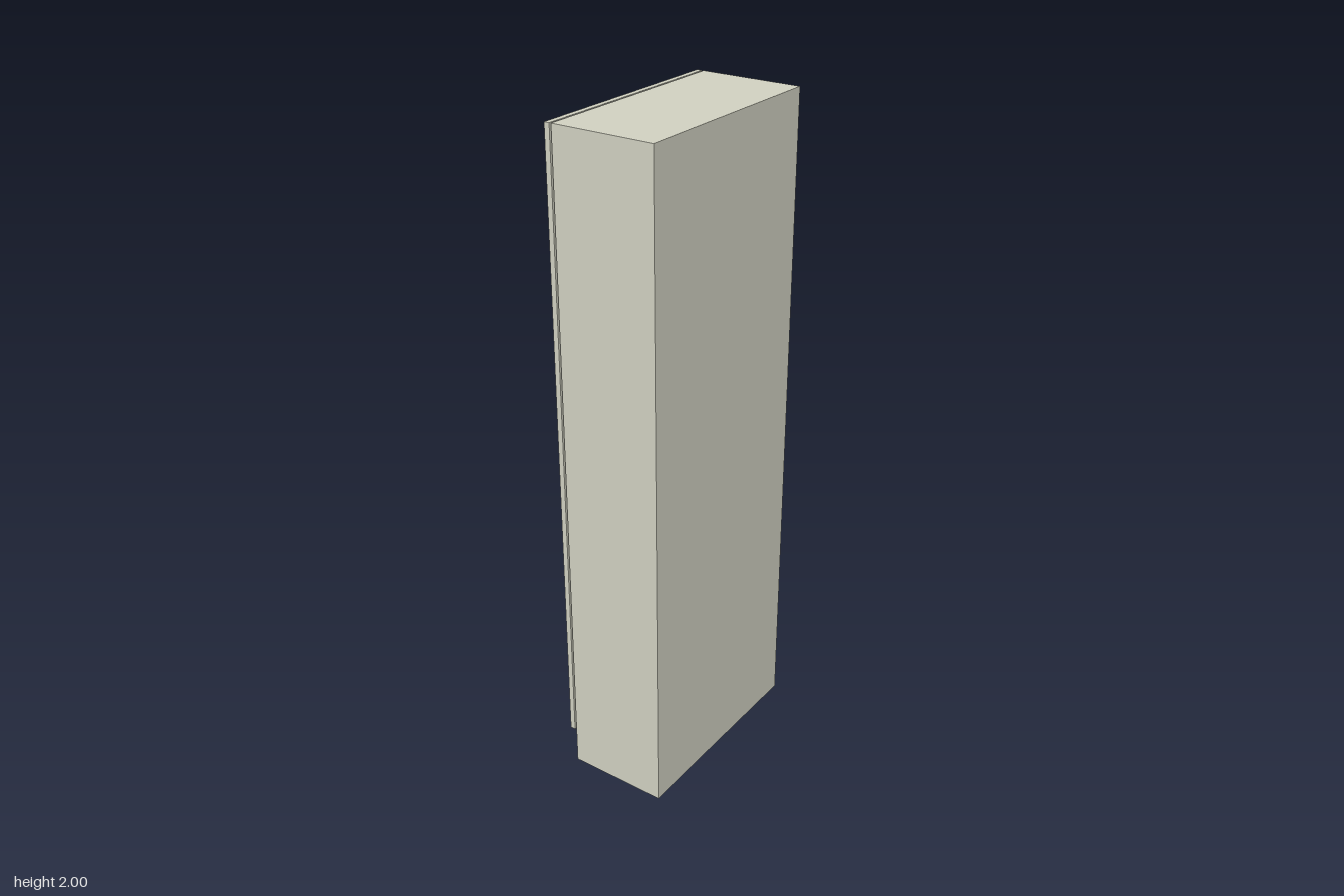
import * as THREE from 'three';
import { RoundedBoxGeometry } from 'three/addons/geometries/RoundedBoxGeometry.js';

const mat = (color) => new THREE.MeshStandardMaterial({ color });

export function createModel() {
  const model = new THREE.Group();
  const paint = mat(0xd4d4c4), dark = mat(0x333333), grey = mat(0x777777);
  const red = mat(0xaa1008), yellow = mat(0xe6dc00), green = mat(0x1f6b35);
  const DOOR = -0.159; // outer face of the door

  const add = (parent, name, geometry, material, x, y, z) => {
    const mesh = new THREE.Mesh(geometry, material);
    mesh.name = name;
    mesh.position.set(x, y, z);
    parent.add(mesh);
    return mesh;
  };
  // Box spanning z0 to z1
  const slab = (parent, name, w, h, z0, z1, material, x, y) =>
    add(parent, name, new THREE.BoxGeometry(w, h, Math.abs(z1 - z0)), material, x, y, (z0 + z1) / 2);
  // Round part with its axis along z
  const disc = (parent, name, r, z0, z1, material, x, y) =>
    add(parent, name, new THREE.CylinderGeometry(r, r, Math.abs(z1 - z0), 32).rotateX(Math.PI / 2),
      material, x, y, (z0 + z1) / 2);

  // Cabinet, door seal and door
  slab(model, 'cabinetBody', 0.666, 2, -0.137, 0.173, paint, 0, 1);
  slab(model, 'doorSeal', 0.644, 1.863, -0.143, -0.137, paint, 0, 1.0575);
  slab(model, 'door', 0.666, 1.885, DOOR, -0.143, paint, 0, 1.0575);

  // Door handle
  add(model, 'doorHandle', new RoundedBoxGeometry(0.032, 0.152, 0.017, 3, 0.006), dark, 0.31, 1.015, DOOR - 0.0085);

  // Two rows of indicator buttons, listed from the left
  const rows = [
    { y: 1.25, lenses: [red, red, red, yellow] },
    { y: 1.15, lenses: [yellow, green, yellow, green] },
  ];
  for (const { y, lenses } of rows) {
    lenses.forEach((lens, i) => {
      const button = new THREE.Group();
      button.name = 'button';
      button.position.set(0.15 - i * 0.1, y, 0);
      slab(button, 'buttonPlate', 0.033, 0.041, DOOR, -0.1645, dark, 0, 0);
      disc(button, 'buttonBezel', 0.013, -0.1645, -0.175, grey, 0, 0);
      disc(button, 'buttonLens', 0.0108, -0.174, -0.1758, lens, 0, 0);
      model.add(button);
    });
  }

  // Main switch: yellow plate, red knob with a grip between two recesses
  const mainSwitch = new THREE.Group();
  mainSwitch.name = 'mainSwitch';
  mainSwitch.position.set(0, 1, 0);
  model.add(mainSwitch);
  slab(mainSwitch, 'switchPlate', 0.112, 0.112, DOOR, -0.1655, yellow, 0, 0);
  disc(mainSwitch, 'knobBase', 0.055, -0.1655, -0.169, red, 0, 0);
  const knob = new THREE.Shape().absarc(0, 0, 0.055, 0, Math.PI * 2);
  for (const start of [-1.25, Math.PI - 1.25]) {
    knob.holes.push(new THREE.Path().absarc(0, 0, 0.043, start, start + 2.5));
  }
  add(mainSwitch, 'knobGrip',
    new THREE.ExtrudeGeometry(knob, { depth: 0.007, bevelEnabled: false, curveSegments: 24 }),
    red, 0, 0, -0.176);

  return model;
}
